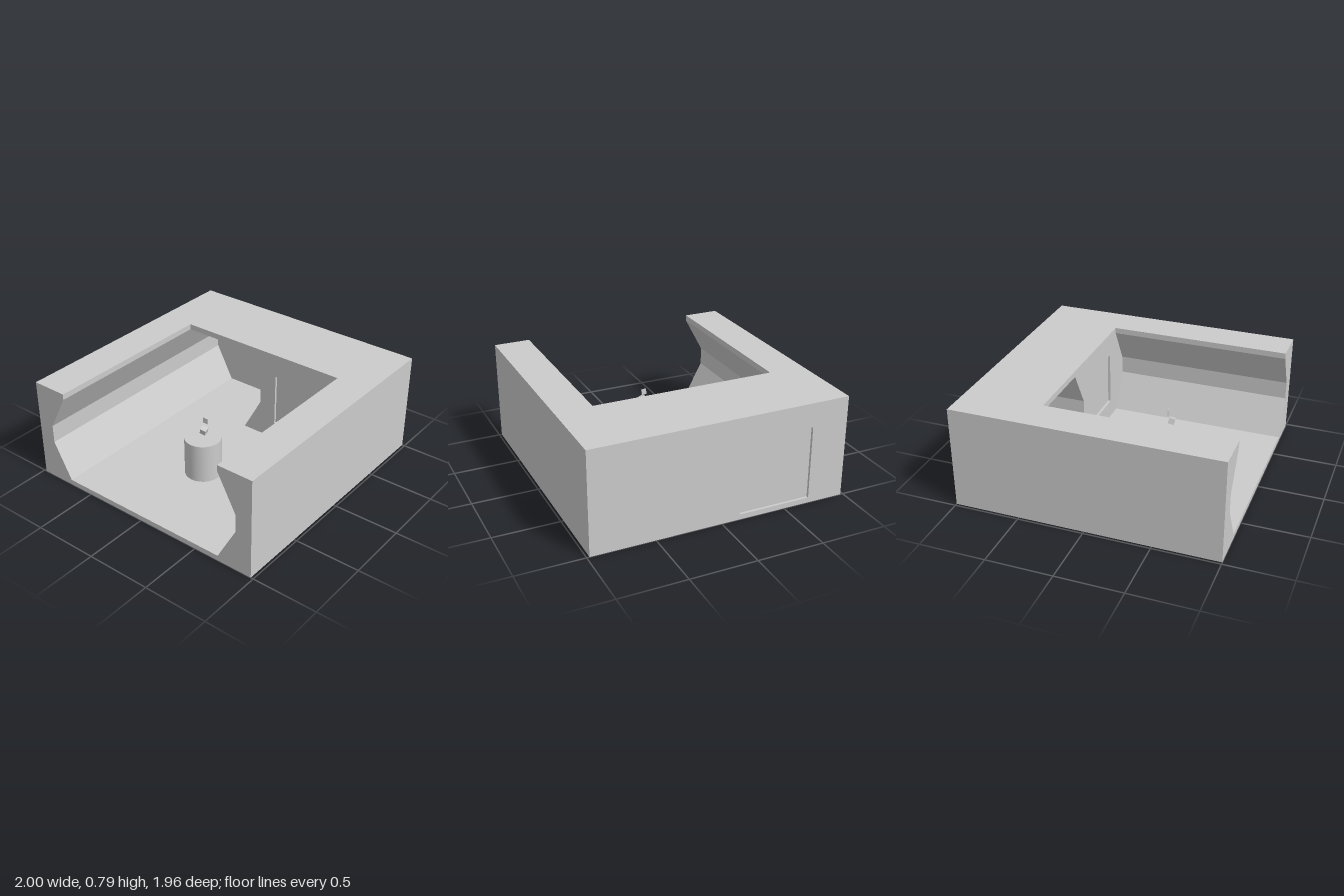
import * as THREE from 'three';

const H = 0.785, D = 0.98;
const material = new THREE.MeshStandardMaterial({ color: 0xcccccc, side: THREE.DoubleSide });

// Hexagonal tunnel section as [z, y] points, from its upper +z corner down and around
const hexSection = (zc, half) => [
  [zc + half, 0.74], [zc + half + 0.15, 0.46], [zc + half + 0.15, 0.32], [zc + half, 0.04],
  [zc - half, 0.04], [zc - half - 0.15, 0.32], [zc - half - 0.15, 0.46], [zc - half, 0.74],
];
const square = (z0, z1, y0, y1) => [[z1, y1], [z1, y0], [z0, y0], [z0, y1]];
const closed = (pts) => [...pts, pts[0]];

export function createModel() {
  const group = new THREE.Group();
  const add = (name, geometry) => {
    const mesh = new THREE.Mesh(geometry, material);
    mesh.name = name;
    group.add(mesh);
    return mesh;
  };

  // Sweep a [z, y] path along x
  const sweep = (name, path, x0, x1) => {
    const pos = [];
    for (let i = 0; i < path.length - 1; i++) {
      const [pz, py] = path[i], [qz, qy] = path[i + 1];
      pos.push(x0, py, pz, x1, py, pz, x1, qy, qz, x0, py, pz, x1, qy, qz, x0, qy, qz);
    }
    const g = new THREE.BufferGeometry();
    g.setAttribute('position', new THREE.Float32BufferAttribute(pos, 3));
    g.computeVertexNormals();
    return add(name, g);
  };

  // Flat wall across x, facing +x or -x
  const wall = (name, outline, x, facing, hole) => {
    const to2D = ([z, y]) => new THREE.Vector2(-z * facing, y);
    const shape = new THREE.Shape(outline.map(to2D));
    if (hole) shape.holes.push(new THREE.Path(hole.map(to2D)));
    const mesh = add(name, new THREE.ShapeGeometry(shape).rotateY(facing * Math.PI / 2));
    mesh.position.x = x;
  };

  const room = [[0.7, H], ...hexSection(0, 0.7), [-0.7, H]];
  const corridor = hexSection(-0.42, 0.28);
  const outerDoor = square(-0.7, -0.14, 0.04, 0.6);
  const innerPanel = square(0.15, 0.57, 0.18, 0.6);

  // Outer block
  const shell = [[-D, H], [-D, 0], [D, 0], [D, H]];
  sweep('outerShell', shell, -1, 1);
  wall('openEnd', [...shell, ...room], -1, -1);
  wall('doorEnd', shell, 1, 1, outerDoor);
  const roof = new THREE.Shape([
    [-1, -D], [1, -D], [1, D], [-1, D], [-1, 0.7], [0.4, 0.7], [0.4, -0.7], [-1, -0.7],
  ].map(([x, y]) => new THREE.Vector2(x, y)));
  add('roof', new THREE.ShapeGeometry(roof).rotateX(-Math.PI / 2)).position.y = H;

  // Open room and its end wall, cut around the corridor mouth
  sweep('roomWalls', room, -1, 0.4);
  wall('roomEndWall', [
    ...room.slice(0, 5), corridor[3], corridor[2], corridor[1], corridor[0],
    [-0.7, 0.74], [-0.7, H],
  ], 0.4, -1, innerPanel);

  // Side corridor
  sweep('corridorWalls', closed(corridor), 0.4, 0.94);
  wall('corridorEnd', corridor, 0.94, -1);

  // Shallow recessed panels
  sweep('outerDoorFrame', closed(outerDoor), 0.98, 1);
  wall('outerDoor', outerDoor, 0.98, 1);
  sweep('innerPanelFrame', closed(innerPanel), 0.4, 0.42);
  wall('innerPanel', innerPanel, 0.42, -1);

  // Round pedestal with the small object above it
  add('pedestal', new THREE.CylinderGeometry(0.14, 0.14, 0.31, 40)).position.set(-0.3, 0.195, 0);
  const block = add('smallBlock', new THREE.BoxGeometry(0.045, 0.045, 0.045));
  block.position.set(-0.31, 0.42, 0.02);
  block.rotation.set(0.25, 0.2, 0.2);
  const plate = add('smallPlate', new THREE.BoxGeometry(0.006, 0.045, 0.04));
  plate.position.set(-0.285, 0.49, 0.015);
  plate.rotation.set(0.1, 0.1, 0);

  return group;
}
